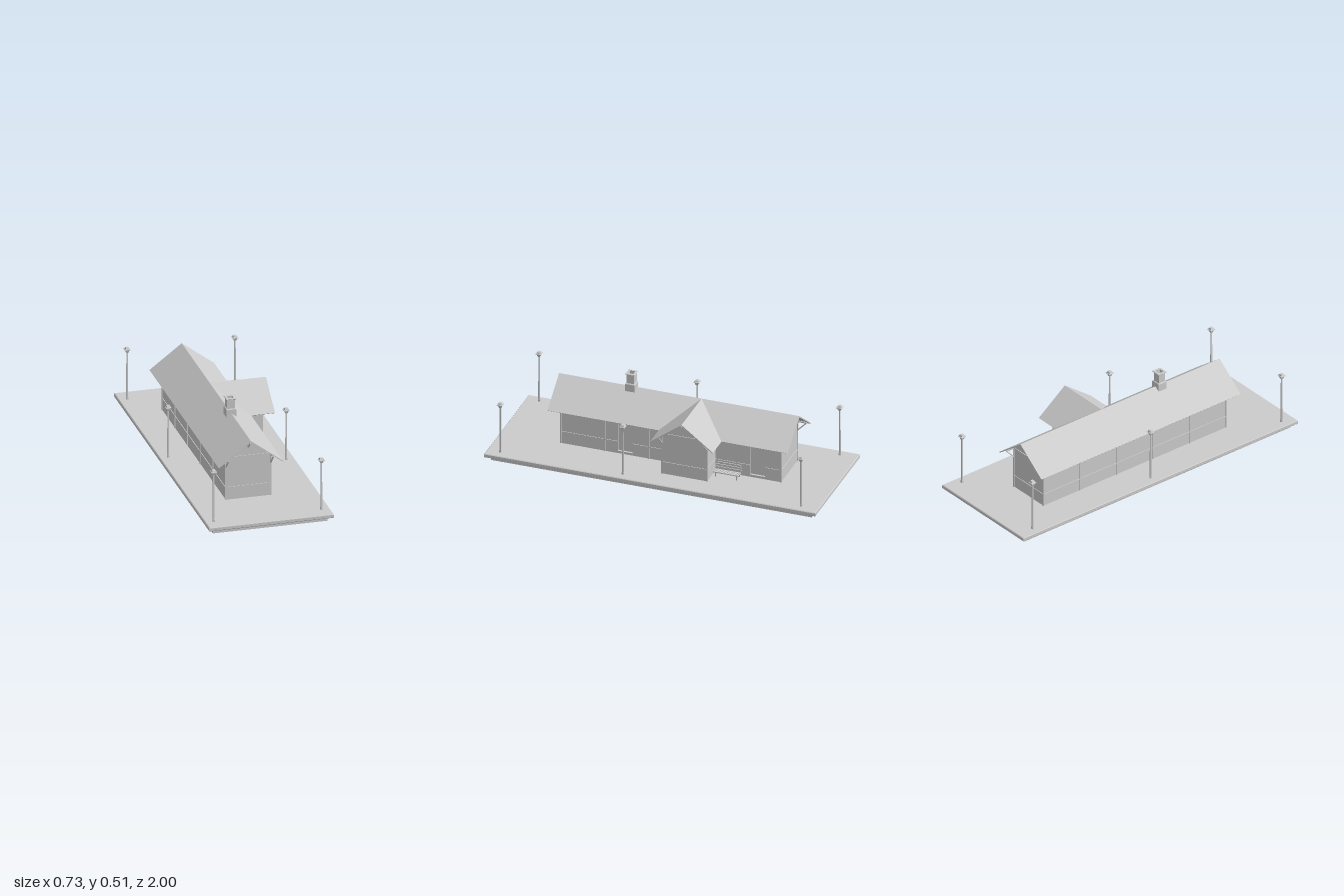
import * as THREE from 'three';

const mat = new THREE.MeshStandardMaterial({ color: 0xcccccc, flatShading: true });
const shellMat = new THREE.MeshStandardMaterial({ color: 0xcccccc, flatShading: true, side: THREE.DoubleSide });
const BASE = 0.05, RIDGE = 0.421, CX = -0.037, CZ = -0.165;
const SLOPE = 0.755, RECESS = 0.012, ROOF = 0.008;
const HALL = { x0: -0.168, x1: 0.096, z0: -0.693, z1: 0.636 };
const WING = { x1: 0.231, z0: -0.297, z1: -0.025 };
const DOORS = [[0.202, 0.291], [-0.598, -0.505]];

function add(parent, geo, name, x = 0, y = 0, z = 0, material = mat) {
  const m = new THREE.Mesh(geo, material);
  m.name = name;
  m.position.set(x, y, z);
  parent.add(m);
  return m;
}

// Box given by its min and max corners
function box(parent, name, x0, x1, y0, y1, z0, z1) {
  return add(parent, new THREE.BoxGeometry(x1 - x0, y1 - y0, z1 - z0), name,
    (x0 + x1) / 2, (y0 + y1) / 2, (z0 + z1) / 2);
}

const outline = (points) => points.map(([x, y]) => new THREE.Vector2(x, y));
const rect = (a, b, y0, y1) => outline([[a, y0], [b, y0], [b, y1], [a, y1]]);

function extrude(points, depth, holes = []) {
  const shape = new THREE.Shape(points);
  shape.holes = holes.map((h) => new THREE.Path(h));
  return new THREE.ExtrudeGeometry(shape, { depth, bevelEnabled: false });
}

// Inverted V band, square cut at the eaves
function chevron(half, top, thick, depth) {
  const e = top - half * SLOPE;
  const n = thick * 0.5;
  return extrude(outline([[0, top], [-half, e], [-half + n, e - n * 0.9], [0, top - thick],
    [half - n, e - n * 0.9], [half, e]]), depth);
}

// Wall block with a gable at both ends
function gableBlock(half, depth) {
  const peak = RIDGE - ROOF;
  const side = peak - half * SLOPE;
  return extrude(outline([[-half, BASE], [half, BASE], [half, side], [0, peak], [-half, side]]), depth);
}

// Square-plan turned form from [half width, height] points
function squareLathe(profile) {
  const pts = profile.map(([w, y]) => new THREE.Vector2(w * Math.SQRT2, y));
  return new THREE.LatheGeometry(pts, 4, Math.PI / 4);
}

// Platform: moulded edge and top in one shell, open below, lengthened along z
function platformShell() {
  const geo = squareLathe([[0.336, 0], [0.336, 0.026], [0.363, 0.026], [0.367, 0.03],
    [0.367, 0.046], [0.363, BASE], [0, BASE]]);
  const p = geo.attributes.position;
  for (let i = 0; i < p.count; i++) p.setZ(i, p.getZ(i) + Math.sign(p.getZ(i)) * 0.633);
  geo.computeVertexNormals();
  return geo;
}

// Roof bracket reaching out along local +x
function bracket(parent, x, y, z, drop, reach) {
  const g = new THREE.Group();
  g.name = 'roofBracket';
  g.position.set(x, y, z);
  const t = 0.0035;
  box(g, 'bracketPost', 0, 0.005, -drop, 0, -t, t);
  box(g, 'bracketBeam', 0, reach, -0.007, 0, -t, t);
  const dy = drop - 0.008, dx = Math.min(reach - 0.003, dy);
  const brace = add(g, new THREE.BoxGeometry(Math.hypot(dx, dy), 0.006, 0.006), 'bracketBrace',
    dx / 2 + 0.003, -drop + 0.004 + dy / 2, 0);
  brace.rotation.z = Math.atan2(dy, dx);
  parent.add(g);
}

// Trim rafters, tie beam, brackets for one gable; local +x points out of the wall
function gableTrim(parent, x, z, turn, half, reach) {
  const g = new THREE.Group();
  g.name = 'gableTrim';
  g.position.set(x, 0, z);
  g.rotation.y = turn;
  const rafters = chevron(half, RIDGE - ROOF, 0.008, 0.004);
  rafters.rotateY(Math.PI / 2);
  add(g, rafters, 'gableRafters');
  box(g, 'tieBeam', 0, 0.004, 0.305, 0.312, -half, half);
  box(g, 'wallRail', 0, 0.004, 0.121, 0.128, -half, half);
  for (const s of [-1, 1]) {
    box(g, 'cornerPost', -0.004, 0.004, BASE, 0.309, s * half - 0.004, s * half + 0.004);
    bracket(g, 0.002, 0.311, s * half, 0.062, reach);
  }
  bracket(g, 0.002, 0.405, 0, 0.046, reach);
  parent.add(g);
}

function lamp(parent, x, z) {
  const g = new THREE.Group();
  g.name = 'lampPost';
  g.position.set(x, BASE, z);
  add(g, squareLathe([[0.0058, 0], [0.0058, 0.012], [0.0046, 0.016], [0.0036, 0.29], [0, 0.29]]), 'lampPole');
  add(g, squareLathe([[0, 0.289], [0.007, 0.289], [0.0115, 0.305], [0.0165, 0.306],
    [0.0165, 0.309], [0.0125, 0.311], [0.009, 0.32], [0, 0.32]]), 'lampHead');
  parent.add(g);
}

function bench(parent) {
  const g = new THREE.Group();
  g.name = 'bench';
  const z0 = -0.462, z1 = -0.31;
  for (let i = 0; i < 3; i++) {
    const x = 0.126 + i * 0.014;
    box(g, 'seatSlat', x, x + 0.012, 0.077, 0.083, z0, z1);
    const y = 0.086 + i * 0.014;
    box(g, 'backSlat', 0.119 - i * 0.003, 0.124 - i * 0.003, y, y + 0.011, z0, z1);
  }
  // Feet are set slightly into the platform
  for (const z of [z0 + 0.012, z1 - 0.012]) {
    box(g, 'benchLeg', 0.157, 0.163, 0.048, 0.077, z - 0.003, z + 0.003);
    box(g, 'benchBackLeg', 0.114, 0.119, 0.048, 0.122, z - 0.003, z + 0.003);
    box(g, 'benchRail', 0.114, 0.163, 0.071, 0.077, z - 0.003, z + 0.003);
  }
  parent.add(g);
}

export function createModel() {
  const model = new THREE.Group();
  model.name = 'station';

  add(model, platformShell(), 'platform', 0, 0, 0, shellMat);

  // Hall: gabled core clad with side walls, the right one with recessed doorways
  const hallHalf = (HALL.x1 - HALL.x0) / 2, hallMid = (HALL.x0 + HALL.x1) / 2;
  add(model, gableBlock(hallHalf - RECESS, HALL.z1 - HALL.z0), 'hallCore', hallMid, 0, HALL.z0);
  box(model, 'leftWall', HALL.x0, HALL.x0 + RECESS, BASE, 0.312, HALL.z0, HALL.z1);
  const rightWall = extrude(rect(-HALL.z1, -HALL.z0, BASE, 0.312), RECESS,
    DOORS.map(([a, b]) => rect(-b, -a, 0.065, 0.261)));
  rightWall.rotateY(Math.PI / 2);
  add(model, rightWall, 'rightWall', HALL.x1 - RECESS, 0, 0);

  // Wing
  const wingHalf = (WING.z1 - WING.z0) / 2, wingMid = (WING.z0 + WING.z1) / 2;
  const wing = gableBlock(wingHalf, WING.x1 - CX);
  wing.rotateY(Math.PI / 2);
  add(model, wing, 'wingWalls', CX, 0, wingMid);

  // Main roof
  add(model, chevron(0.19, RIDGE, ROOF, 1.45), 'mainRoof', CX, 0, -0.755);

  // Wing roof, its inner end cut back along the valleys
  const wingRoof = chevron(0.19, RIDGE, ROOF, 0.293 - CX);
  wingRoof.rotateY(Math.PI / 2);
  const p = wingRoof.attributes.position;
  for (let i = 0; i < p.count; i++) {
    if (p.getX(i) < 0.01) p.setX(i, Math.abs(p.getZ(i)));
  }
  wingRoof.computeVertexNormals();
  add(model, wingRoof, 'wingRoof', CX, 0, CZ);

  // Gable ends
  gableTrim(model, hallMid, HALL.z1, -Math.PI / 2, hallHalf, 0.052);
  gableTrim(model, hallMid, HALL.z0, Math.PI / 2, hallHalf, 0.055);
  gableTrim(model, WING.x1, wingMid, 0, wingHalf, 0.055);

  // Side posts in five equal bays, and rails broken at the doorways
  const bay = (HALL.z1 - HALL.z0) / 5;
  const rails = [
    [HALL.x0, [[HALL.z0, HALL.z1]]],
    [HALL.x1, [[HALL.z0, DOORS[1][0]], [DOORS[1][1], DOORS[0][0]], [DOORS[0][1], HALL.z1]]],
  ];
  for (const [x, spans] of rails) {
    for (let i = 1; i < 5; i++) {
      const z = HALL.z0 + i * bay;
      box(model, 'sidePost', x - 0.004, x + 0.004, BASE, 0.305, z - 0.004, z + 0.004);
    }
    for (const [a, b] of spans) box(model, 'sideRail', x - 0.004, x + 0.004, 0.121, 0.128, a, b);
    box(model, 'wallPlate', x - 0.004, x + 0.004, 0.298, 0.305, HALL.z0, HALL.z1);
  }
  for (const z of [WING.z0, WING.z1]) {
    box(model, 'wingRail', HALL.x1, WING.x1, 0.123, 0.131, z - 0.003, z + 0.003);
    box(model, 'wingPost', HALL.x1, HALL.x1 + 0.007, BASE, 0.3, z - 0.003, z + 0.003);
  }

  // Chimney with an open flue
  add(model, squareLathe([[0.029, 0.38], [0.029, 0.443], [0.027, 0.447], [0.0225, 0.448],
    [0.0225, 0.504], [0.028, 0.505], [0.03, 0.508], [0.028, 0.511],
    [0.016, 0.511], [0.016, 0.46], [0, 0.46]]), 'chimney', CX, 0, 0.257);

  // Platform furniture
  bench(model);
  for (const z of [-0.895, -0.034, 0.919]) lamp(model, -0.319, z);
  for (const z of [-0.895, 0.18, 0.919]) lamp(model, 0.315, z);
  return model;
}
